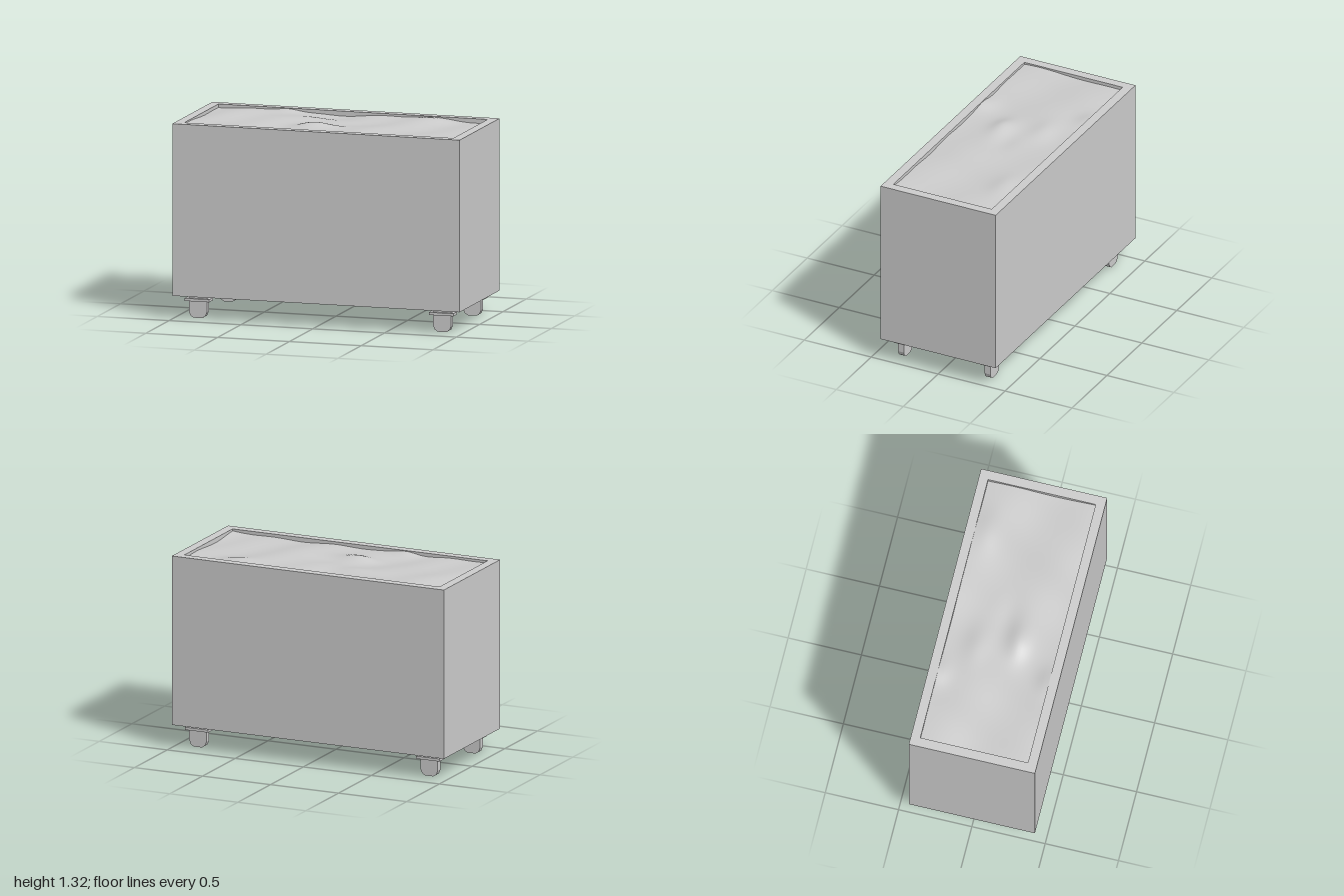
import * as THREE from 'three';

const grey = new THREE.MeshStandardMaterial({ color: 0xcccccc });
grey.name = 'concrete grey';

const BOTTOM = 0.155, TOP = 1.313, HX = 1, HZ = 0.43, WALL = 0.063;

function addMesh(parent, name, geometry, x = 0, y = 0, z = 0) {
  const mesh = new THREE.Mesh(geometry, grey);
  mesh.name = name;
  mesh.position.set(x, y, z);
  parent.add(mesh);
  return mesh;
}

function rectangle(target, hx, hz) {
  target.moveTo(-hx, -hz);
  target.lineTo(hx, -hz);
  target.lineTo(hx, hz);
  target.lineTo(-hx, hz);
  target.closePath();
  return target;
}

// Gently rolling soil height with a few mounds
const mounds = [
  // x, z, radius x, radius z, height
  [-0.13, 0.1, 0.12, 0.07, 0.024],
  [-0.2, -0.16, 0.13, 0.08, 0.016],
  [-0.45, -0.37, 0.1, 0.08, 0.022],
  [-0.35, 0.37, 0.1, 0.08, 0.022],
  [0.6, -0.28, 0.14, 0.08, 0.012],
  [0.02, 0, 0.14, 0.08, -0.012],
];
function soilHeight(x, z) {
  let y = 1.291 + 0.006 * Math.sin(6.1 * x + 3 * z) + 0.005 * Math.sin(11 * z - 4 * x + 1)
    + 0.004 * Math.sin(15 * x + 8 * z + 2);
  for (const [mx, mz, rx, rz, h] of mounds) {
    y += h * Math.exp(-(((x - mx) / rx) ** 2) - ((z - mz) / rz) ** 2);
  }
  return y;
}

export function createModel() {
  const model = new THREE.Group();
  model.name = 'planter';

  // Four walls as one hollow frame, plus the floor
  const outline = rectangle(new THREE.Shape(), HX, HZ);
  outline.holes.push(rectangle(new THREE.Path(), HX - WALL, HZ - WALL));
  const walls = new THREE.ExtrudeGeometry(outline, { depth: TOP - BOTTOM, bevelEnabled: false });
  walls.rotateX(-Math.PI / 2);
  addMesh(model, 'walls', walls, 0, BOTTOM, 0);
  addMesh(model, 'floor', new THREE.BoxGeometry(2 * (HX - WALL), 0.06, 2 * (HZ - WALL)), 0, BOTTOM + 0.03, 0);

  // Soil surface
  const soil = new THREE.PlaneGeometry(2 * (HX - WALL), 2 * (HZ - WALL), 80, 32);
  soil.rotateX(-Math.PI / 2);
  const p = soil.attributes.position;
  for (let i = 0; i < p.count; i++) p.setY(i, soilHeight(p.getX(i), p.getZ(i)));
  soil.computeVertexNormals();
  addMesh(model, 'soil', soil);

  // Feet: a rounded blade passing through a flat plate
  const blade = new THREE.Shape();
  blade.moveTo(-0.063, BOTTOM);
  blade.lineTo(-0.063, 0.042);
  blade.lineTo(-0.052, 0.014);
  blade.lineTo(-0.03, 0);
  blade.lineTo(0.03, 0);
  blade.lineTo(0.052, 0.014);
  blade.lineTo(0.063, 0.042);
  blade.lineTo(0.063, BOTTOM);
  blade.closePath();
  const bladeGeometry = new THREE.ExtrudeGeometry(blade, { depth: 0.042, bevelEnabled: false });
  bladeGeometry.translate(0, 0, -0.021);
  const plateGeometry = new THREE.BoxGeometry(0.17, 0.018, 0.084);

  for (const sx of [-1, 1]) {
    for (const sz of [-1, 1]) {
      const foot = new THREE.Group();
      foot.name = (sz > 0 ? 'front' : 'back') + (sx > 0 ? 'Left' : 'Right') + 'Foot';
      foot.position.set(sx * 0.85, 0, sz * 0.323);
      addMesh(foot, 'blade', bladeGeometry);
      addMesh(foot, 'plate', plateGeometry, 0, 0.122, 0);
      model.add(foot);
    }
  }
  return model;
}
